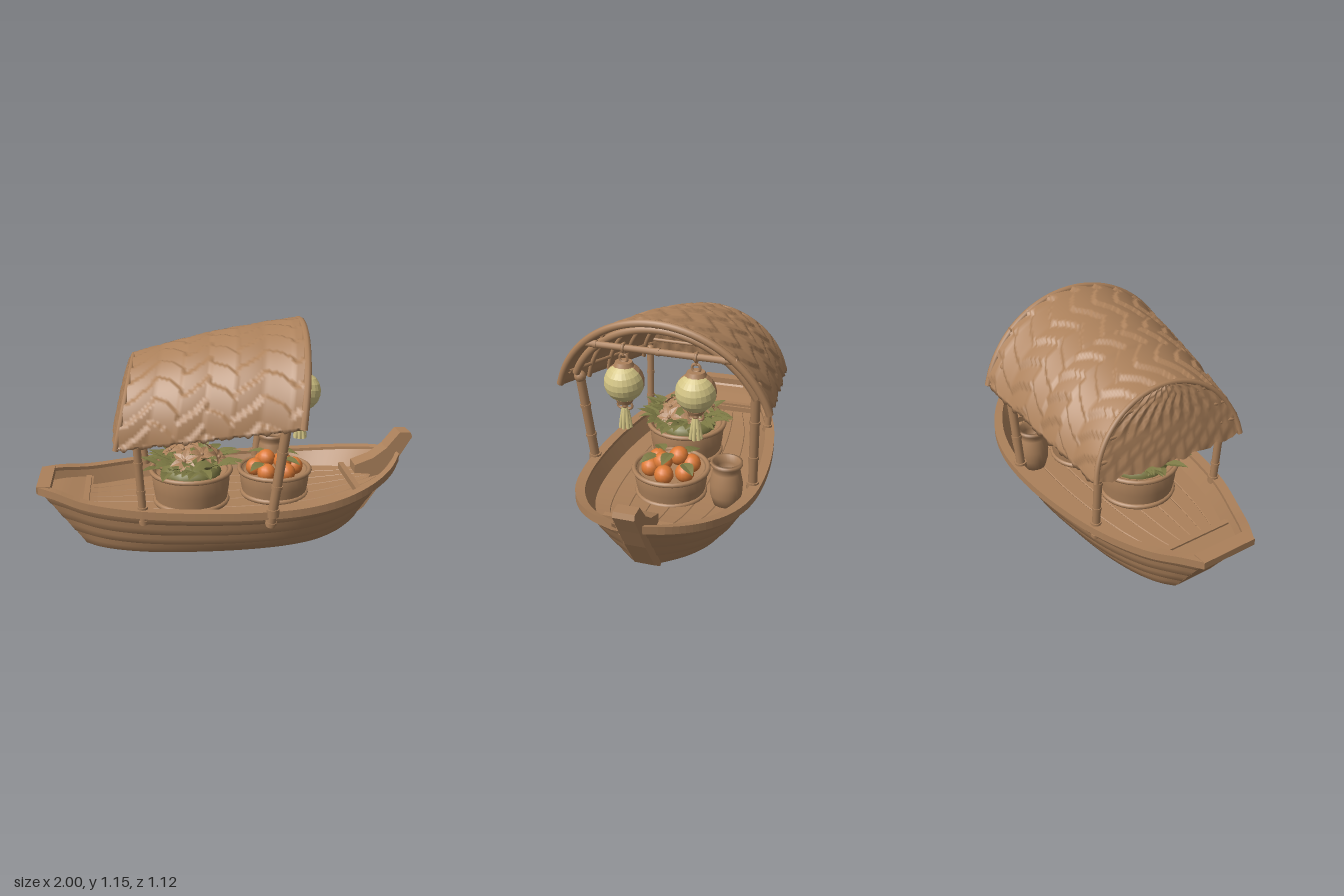
import * as THREE from 'three';

const { lerp, clamp } = THREE.MathUtils;
const V = (x, y, z) => new THREE.Vector3(x, y, z);
const mat = (name, color) => {
  const m = new THREE.MeshStandardMaterial({ color, side: THREE.DoubleSide });
  m.name = name;
  return m;
};
const frac = (q) => q - Math.floor(q);

// Surface through equal-length rows of points, smooth or faceted
function loft(rows, { closed = false, flat = false } = {}) {
  const n = rows[0].length, pos = [], idx = [];
  rows.forEach((r) => r.forEach((p) => pos.push(p.x, p.y, p.z)));
  for (let i = 0; i < rows.length - 1; i++)
    for (let j = 0; j < (closed ? n : n - 1); j++) {
      const a = i * n + j, b = i * n + ((j + 1) % n);
      idx.push(a, b, a + n, b, b + n, a + n);
    }
  let g = new THREE.BufferGeometry();
  g.setAttribute('position', new THREE.Float32BufferAttribute(pos, 3));
  g.setIndex(idx);
  if (flat) g = g.toNonIndexed();
  g.computeVertexNormals();
  return g;
}
const facet = (g) => { const f = g.toNonIndexed(); f.computeVertexNormals(); return f; };
const range = (n, f) => Array.from({ length: n + 1 }, (_, i) => f(i / n, i));
const tube = (pts, r, seg = 24) => new THREE.TubeGeometry(new THREE.CatmullRomCurve3(pts), seg, r, 8);

// Hull lines: rim and bottom as (x, y, half width)
const rim = new THREE.CatmullRomCurve3([
  V(-0.99, 0.325, 0.13), V(-0.9, 0.315, 0.185), V(-0.75, 0.285, 0.265), V(-0.5, 0.275, 0.365),
  V(-0.2, 0.272, 0.425), V(0.1, 0.272, 0.447), V(0.35, 0.28, 0.432), V(0.55, 0.302, 0.38),
  V(0.72, 0.335, 0.285), V(0.84, 0.368, 0.17), V(0.92, 0.395, 0.04)]);
const keel = new THREE.CatmullRomCurve3([
  V(-0.76, 0, 0.1), V(-0.7, 0, 0.15), V(-0.6, 0, 0.2), V(-0.42, 0, 0.25), V(-0.17, 0.005, 0.285),
  V(0.08, 0.01, 0.295), V(0.28, 0.015, 0.28), V(0.43, 0.02, 0.24), V(0.55, 0.03, 0.175),
  V(0.63, 0.035, 0.1), V(0.69, 0.04, 0.03)]);
function hullPoint(t, v, side, out = 0) {
  const a = keel.getPoint(t), b = rim.getPoint(t);
  const w = lerp(a.z, b.z, Math.pow(v, 0.8)) + out;
  return V(lerp(a.x, b.x, v), lerp(a.y, b.y, v), side * Math.max(0.002, w));
}

// Roof: arched shell widening and rising toward the bow; s runs along, t across
function roofPoint(s, t, out = 0) {
  const w = lerp(0.42, 0.55, s), h = lerp(0.365, 0.405, s) + 0.02 * Math.sin(Math.PI * s);
  const base = lerp(0.605, 0.735, s), R = (w * w + h * h) / (2 * h), yc = h - R;
  const A = Math.acos(clamp(-yc / R, -1, 1)), a = lerp(A, -A, t);
  const y = yc + (R + out) * Math.cos(a), k = clamp(y / h, 0, 1);
  return V(lerp(lerp(-0.56, -0.48, k), lerp(0.31, 0.37, k), s), base + y, (R + out) * Math.sin(a));
}
// Overlapping herringbone slats
const weave = (s, t) => {
  const u = s * 6.5, dir = Math.floor(u) % 2 ? 1 : -1;
  return 0.015 * frac(t * 11 + dir * u * 0.9 + 0.15 * Math.sin(u * 3)) - 0.005;
};

// Pointed leaf or petal along +x, folded on its midrib and drooping
function leafGeometry(len, w) {
  const g = new THREE.PlaneGeometry(1, 1, 5, 2), p = g.attributes.position;
  for (let i = 0; i < p.count; i++) {
    const u = p.getX(i) + 0.5, c = p.getY(i) * 2;
    const half = (w / 2) * Math.sin(Math.PI * Math.pow(u, 0.8));
    p.setXYZ(i, u * len, Math.abs(c) * half * 0.3 - 0.25 * len * u * u, -c * half);
  }
  return facet(g);
}

export function createModel() {
  const model = new THREE.Group();
  const wood = mat('wood', 0xac815b), paper = mat('lantern paper', 0xd4c585);
  const green = mat('leaf green', 0x7b7843), orange = mat('orange', 0xdd7a36);
  const add = (parent, name, geo, m = wood, x = 0, y = 0, z = 0) => {
    const mesh = new THREE.Mesh(geo, m);
    mesh.name = name;
    mesh.position.set(x, y, z);
    parent.add(mesh);
    return mesh;
  };
  const group = (parent, name, x = 0, y = 0, z = 0) => {
    const g = new THREE.Group();
    g.name = name;
    g.position.set(x, y, z);
    parent.add(g);
    return g;
  };

  // Hull with overlapping planks
  const hull = group(model, 'hull', 0, 0, -0.016);
  hull.rotation.y = 0.05;
  const edges = [0, 0.24, 0.48, 0.74, 1];
  for (const side of [1, -1]) {
    for (let k = 0; k < 4; k++) {
      const rows = [[0, 0], [0, 0.014], [0.5, 0.008], [1, 0]].map(([f, out]) =>
        range(48, (t) => hullPoint(t, lerp(edges[k], edges[k + 1], f), side, out)));
      add(hull, 'hullPlank', loft(rows));
    }
    add(hull, 'innerSide', loft([0.6, 1].map((v) => range(48, (t) => hullPoint(t, v, side, -0.03)))));
    add(hull, 'gunwale', loft(range(48, (t) => [[0.018, -0.03], [0.018, 0.01], [-0.034, 0.01], [-0.034, -0.03]]
      .map(([out, dy]) => hullPoint(t, 1, side, out).add(V(0, dy, 0)))), { closed: true, flat: true }));
  }
  add(hull, 'bottom', loft([1, -1].map((s) => range(48, (t) => hullPoint(t, 0, s)))));
  add(hull, 'transom', loft(range(4, (v) => [hullPoint(0, v, 1, 0.006), hullPoint(0, v, -1, 0.006)]), { flat: true }));
  add(hull, 'sternBoard', new THREE.BoxGeometry(0.07, 0.035, 0.3), wood, -0.96, 0.318, 0);

  // Deck planks with small steps between them
  const deckPoint = (t, f, v, dy) => {
    const p = hullPoint(t, v, 1, -0.025);
    return V(p.x, p.y + dy, p.z * f);
  };
  for (let k = 0; k < 7; k++) {
    const f0 = -1 + (k * 2) / 7, f1 = f0 + 2 / 7;
    add(hull, 'deckPlank', loft([[f0, -0.004], [f0 + 0.012, 0], [f1 - 0.012, 0], [f1, -0.004]]
      .map(([f, dy]) => range(30, (t) => deckPoint(t, f, 0.68, dy))), { flat: true }));
  }
  add(hull, 'sternDeck', loft(range(6, (t) => [deckPoint(t * 0.2, -1, 0.84, 0), deckPoint(t * 0.2, 1, 0.84, 0)])));
  add(hull, 'sternBeam', new THREE.BoxGeometry(0.03, 0.05, 0.4), wood, -0.75, 0.23, 0);
  add(hull, 'bowBeam', new THREE.BoxGeometry(0.03, 0.04, 0.4), wood, 0.67, 0.25, 0);

  // Bow stem
  const stem = new THREE.Shape([[0.67, 0.025], [0.75, 0.085], [0.87, 0.265], [0.94, 0.385], [1.0, 0.485], [0.99, 0.51],
    [0.93, 0.512], [0.86, 0.425], [0.79, 0.372], [0.69, 0.335], [0.69, 0.29], [0.78, 0.28], [0.64, 0.06]]
    .map(([x, y]) => new THREE.Vector2(x, y)));
  add(hull, 'bowStem', new THREE.ExtrudeGeometry(stem, { depth: 0.1, bevelEnabled: false }), wood, 0, 0, -0.08);

  // Roof shell, stern flap and edge bindings
  const roof = group(model, 'roof');
  add(roof, 'wovenRoof', loft(range(72, (s) => {
    const fray = 0.012 * Math.sin(s * 95) * Math.sin(s * 37);
    const outer = range(100, (t) => roofPoint(s, t, weave(s, t)));
    outer[0].y += fray;
    outer[100].y += fray;
    return [...outer, ...range(40, (t) => roofPoint(s, 1 - t, -0.022))];
  }), { closed: true }));
  add(roof, 'sternFlap', loft(range(24, (k) => {
    const a = roofPoint(0, k / 2), b = roofPoint(0, 1 - k / 2);
    return range(40, (f) => a.clone().lerp(b, f).add(V(-0.03 * Math.sin(Math.PI * f) * (1 - k * k)
      - weave(k * 0.5, f), k ? 0 : 0.01 * Math.sin(f * 40), 0)));
  })));
  const arch = (s, out, r, t0 = 0, t1 = 1) => tube(range(20, (f) => roofPoint(s, lerp(t0, t1, f), out)), r, 40);
  add(roof, 'frontHem', arch(1, -0.008, 0.019));
  add(roof, 'rearHem', arch(0, -0.008, 0.014));
  add(roof, 'frontArch', arch(0.95, -0.05, 0.02, 0.06, 0.94));
  for (const s of [0.12, 0.33, 0.54, 0.75]) add(roof, 'rib', arch(s, -0.03, 0.013));
  for (const t of [0.06, 0.28, 0.5, 0.72, 0.94])
    add(roof, 'purlin', tube(range(8, (s) => roofPoint(lerp(0.02, 0.98, s), t, -0.027)), 0.01));
  for (const k of [0.08, 0.18, 0.3]) add(roof, 'flapBatten',
    tube([0, 0.5, 1].map((f) => roofPoint(0, k, -0.02).lerp(roofPoint(0, 1 - k, -0.02), f)), 0.01));

  // Bamboo poles with swollen joints
  const pole = (parent, name, a, b, r, joints) => {
    const g = group(parent, name), q = new THREE.Quaternion()
      .setFromUnitVectors(V(0, 1, 0), b.clone().sub(a).normalize());
    const piece = (label, geo, f) => {
      const m = add(g, label, geo);
      m.position.lerpVectors(a, b, f);
      m.quaternion.copy(q);
    };
    piece('pole', new THREE.CylinderGeometry(r, r, a.distanceTo(b), 10), 0.5);
    for (const f of joints) piece('joint', new THREE.CylinderGeometry(r * 1.18, r * 1.18, 0.016, 10), f);
    return g;
  };
  for (const [base, top, r] of [
    [V(0.18, 0.2, 0.422), V(0.25, 0.76, 0.46), 0.024], [V(0.18, 0.2, -0.442), V(0.26, 0.84, -0.46), 0.024],
    [V(-0.44, 0.2, 0.36), V(-0.465, 0.66, 0.367), 0.02], [V(-0.45, 0.2, -0.355), V(-0.49, 0.68, -0.355), 0.02]]) {
    const g = pole(model, 'roofPost', base, top, r, [0.03, 0.38, 0.7]);
    add(g, 'postCap', new THREE.SphereGeometry(r * 1.3, 12, 8), wood, top.x, top.y, top.z);
    add(g, 'collar', new THREE.CylinderGeometry(r * 1.35, r * 1.35, 0.04, 10), wood,
      lerp(base.x, top.x, 0.14), 0.275, lerp(base.z, top.z, 0.14));
  }
  pole(model, 'lanternBeam', V(0.345, 0.985, 0.38), V(0.345, 0.99, -0.39), 0.017, [0.08, 0.27, 0.5, 0.74, 0.92]);

  // Lanterns: paper toward the bow, wood-coloured behind
  for (const z of [0.17, -0.195]) {
    const g = group(model, 'lantern', 0.352, 0.815, z);
    const half = (name, start, length, m) => {
      add(g, name, facet(new THREE.SphereGeometry(0.099, 12, 10, start, length)), m).rotation.z = -0.2;
    };
    half('paperSide', Math.PI / 2 + 0.1, Math.PI - 0.05, paper);
    half('darkSide', Math.PI * 1.5 + 0.05, Math.PI + 0.05, wood);
    add(g, 'topCap', new THREE.CylinderGeometry(0.042, 0.052, 0.022, 12), wood, 0, 0.094, 0);
    add(g, 'bottomCap', new THREE.CylinderGeometry(0.046, 0.036, 0.022, 12), wood, 0, -0.1, 0);
    add(g, 'hook', new THREE.TorusGeometry(0.02, 0.007, 6, 14), wood, 0, 0.122, 0).rotation.y = Math.PI / 2;
    add(g, 'cord', new THREE.CylinderGeometry(0.009, 0.009, 0.06, 8), wood, 0, 0.165, 0);
    add(g, 'beamLoop', new THREE.TorusGeometry(0.02, 0.008, 6, 14), wood, -0.007, 0.172, 0);
    for (const s of [1, -1])
      add(g, 'bow', new THREE.TorusGeometry(0.016, 0.007, 6, 12), wood, 0, -0.125, s * 0.022).rotation.y = Math.PI / 2;
    add(g, 'knot', new THREE.SphereGeometry(0.015, 8, 6), wood, 0, -0.128, 0);
    for (let i = 0; i < 7; i++) {
      const a = (i / 7) * Math.PI * 2, c = Math.cos(a), d = Math.sin(a);
      add(g, 'tasselStrand', tube([V(c * 0.008, -0.135, d * 0.008), V(c * 0.019, -0.19, d * 0.019),
        V(c * 0.026, -0.243, d * 0.026)], 0.01, 4), paper);
    }
  }

  // Baskets
  const lathe = (pts) => new THREE.LatheGeometry(pts.map(([x, y]) => new THREE.Vector2(x, y)), 28);
  const basket = (name, x, z, r, top, fill) => {
    const g = group(model, name, x, 0.18, z);
    add(g, 'basketBody', lathe([[r * 0.86, 0], [r * 0.93, top * 0.5], [r * 0.97, top], [r * 0.87, top], [r * 0.85, fill], [0, fill]]));
    for (const [rr, y, tr] of [[r * 0.97, top, 0.013], [r * 0.88, 0.02, 0.014]])
      add(g, 'basketBand', new THREE.TorusGeometry(rr, tr, 8, 32), wood, 0, y, 0).rotation.x = Math.PI / 2;
    return g;
  };
  const leaf = (parent, name, geo, m, x, y, z, az, tilt) => {
    const l = add(parent, name, geo, m, x, y, z);
    l.rotation.order = 'YZX';
    l.rotation.set(0, -az, tilt);
  };

  // Flower basket with a leafy mound and star blossoms
  const flowers = basket('flowerBasket', -0.2, 0.045, 0.215, 0.185, 0.15);
  add(flowers, 'mound', new THREE.SphereGeometry(0.16, 16, 8, 0, Math.PI * 2, 0, Math.PI / 2), green, 0, 0.17, 0).scale.y = 0.5;
  const leafGeo = leafGeometry(0.125, 0.06), petalGeo = leafGeometry(0.075, 0.042);
  for (let i = 0; i < 54; i++) {
    const a = i * 2.4, r = 0.09 + 0.08 * frac(i * 0.37);
    leaf(flowers, 'leaf', leafGeo, green, r * Math.cos(a), 0.27 - r * 0.4 + 0.03 * frac(i * 0.61), r * Math.sin(a),
      a + 0.5 * Math.sin(i * 3), 0.15 + 0.55 * frac(i * 0.29));
  }
  for (let i = 0; i < 9; i++) {
    const a = i * 2.4, r = 0.053 * Math.sqrt(i);
    const f = group(flowers, 'blossom', r * Math.cos(a), 0.325 - r * 0.4, r * Math.sin(a));
    f.rotation.set(Math.sin(a) * r * 5, 0, -Math.cos(a) * r * 5);
    for (let k = 0; k < 6; k++) leaf(f, 'petal', petalGeo, wood, 0, 0, 0, (k / 6) * Math.PI * 2 + i, 0.3);
    add(f, 'blossomCentre', new THREE.SphereGeometry(0.011, 8, 6), wood, 0, 0.006, 0);
  }

  // Fruit basket
  const fruit = basket('fruitBasket', 0.25, -0.03, 0.195, 0.15, 0.125);
  const fruitGeo = new THREE.SphereGeometry(0.049, 14, 10), fruitLeaf = leafGeometry(0.11, 0.065);
  for (let i = 0; i < 6; i++)
    add(fruit, 'orange', fruitGeo, orange, 0.105 * Math.cos(i * 1.047), 0.16, 0.105 * Math.sin(i * 1.047));
  for (let i = 0; i < 2; i++)
    add(fruit, 'orange', fruitGeo, orange, 0.05 * Math.cos(i * 3.14 + 0.6), 0.198, 0.05 * Math.sin(i * 3.14 + 0.6));
  for (const [x, y, z, az] of [[0.03, 0.225, 0.06, 0.6], [-0.06, 0.2, 0.06, 2.4], [0.05, 0.21, -0.08, -0.8],
    [-0.04, 0.22, -0.06, 3.6], [0.02, 0.24, -0.01, 0.1]])
    leaf(fruit, 'fruitLeaf', fruitLeaf, green, x, y, z, az, 0.1);

  // Clay jar
  add(model, 'jar', lathe([[0, 0], [0.062, 0], [0.08, 0.06], [0.083, 0.12], [0.07, 0.185], [0.064, 0.2], [0.08, 0.222],
    [0.08, 0.238], [0.066, 0.24], [0.056, 0.2], [0.06, 0.12], [0, 0.11]]), wood, 0.27, 0.19, -0.33);

  return model;
}
